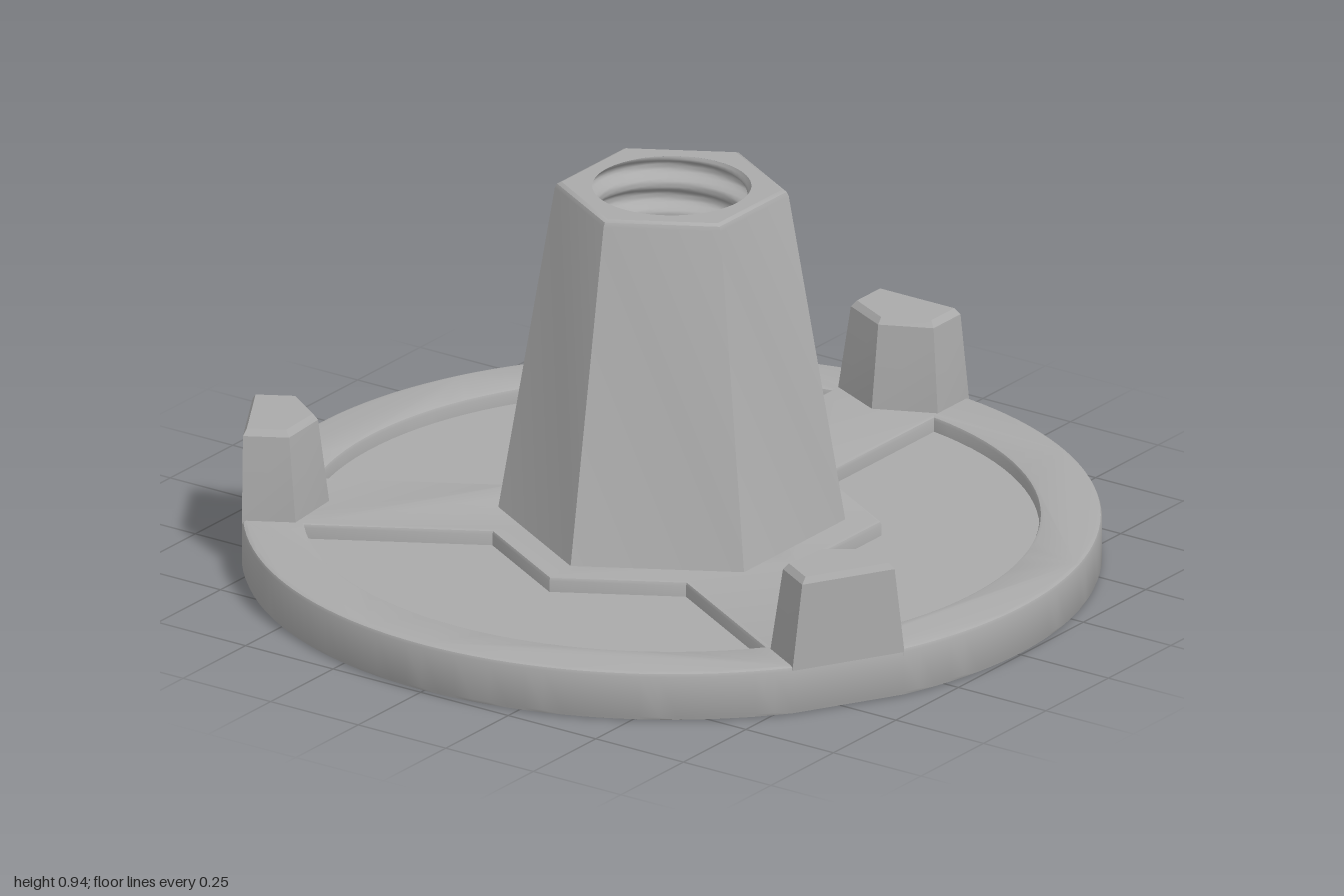
import * as THREE from 'three';
import { toCreasedNormals } from 'three/addons/utils/BufferGeometryUtils.js';

const PLATE_H = 0.12, TOP = 0.94, BORE = 0.185;
const polar = (r, a) => new THREE.Vector2(r * Math.cos(a), r * Math.sin(a));
const circle = (r) => new THREE.Path().absarc(0, 0, r, 0, Math.PI * 2, true);

// Round outline with three short flats under the lugs
function plateOutline() {
  const pts = [], flat = 0.141, steps = 40;
  for (let k = 0; k < 3; k++)
    for (let i = 0; i <= steps; i++) {
      const span = Math.PI * 2 / 3 - 2 * flat;
      pts.push(polar(1, k * Math.PI * 2 / 3 + flat + span * i / steps));
    }
  return new THREE.Shape(pts);
}

// Pocket between two spokes: an outer arc and three straight inner walls
function pocketPath(turn) {
  const half = 0.148, r = 0.855, a0 = Math.asin(half / r), steps = 32;
  const inner = new THREE.Vector2(0.49 - half / Math.sqrt(3), half);
  const pts = [inner];
  for (let i = 0; i <= steps; i++)
    pts.push(polar(r, a0 + (Math.PI * 2 / 3 - 2 * a0) * i / steps));
  pts.push(polar(inner.length(), Math.PI * 2 / 3 - inner.angle()));
  pts.push(polar(0.49, Math.PI / 3));
  const origin = new THREE.Vector2();
  return new THREE.Path(pts.map((p) => p.clone().rotateAround(origin, turn)));
}

// Extrude a plan shape upwards from y0 to y1
function slab(shape, y0, y1, bevel) {
  const geo = new THREE.ExtrudeGeometry(shape, {
    depth: y1 - y0 - 2 * bevel, curveSegments: 64,
    bevelEnabled: bevel > 0, bevelThickness: bevel, bevelSize: bevel,
    bevelOffset: -bevel, bevelSegments: 2,
  });
  geo.rotateX(-Math.PI / 2).translate(0, y0 + bevel, 0);
  return toCreasedNormals(geo, 0.5);
}

function gridGeometry(positions, index) {
  const geo = new THREE.BufferGeometry();
  geo.setAttribute('position', new THREE.Float32BufferAttribute(positions, 3));
  geo.setIndex(index);
  return geo;
}

// Inward-facing helical thread
function threadGeometry() {
  const rows = 140, seg = 48, pitch = 0.075, pos = [], idx = [];
  for (let i = 0; i <= rows; i++) {
    const y = TOP * i / rows;
    const fade = Math.min(1, Math.min(y, TOP - y) / 0.02);
    for (let j = 0; j < seg; j++) {
      const a = j / seg * Math.PI * 2;
      const t = y / pitch + j / seg;
      const d = Math.abs((t - Math.floor(t)) * 2 - 1);
      const r = 0.176 + 0.03 * THREE.MathUtils.smoothstep(d, 0.2, 0.8);
      const rr = THREE.MathUtils.lerp(BORE, r, fade);
      pos.push(rr * Math.cos(a), y, rr * Math.sin(a));
      if (i < rows) {
        const p = i * seg + j, q = i * seg + (j + 1) % seg;
        idx.push(p, q, p + seg, q, q + seg, p + seg);
      }
    }
  }
  const geo = gridGeometry(pos, idx);
  geo.computeVertexNormals();
  return geo;
}

// Tapered five-sided lug with a vertical outer face
function lugGeometry() {
  const sections = [ // y, tip x, shoulder x, half width, outer x
    [0.1, 0.8, 0.865, 0.142, 0.99],
    [PLATE_H, 0.8, 0.865, 0.142, 0.99],
    [0.322, 0.826, 0.882, 0.118, 0.99],
    [0.337, 0.838, 0.89, 0.106, 0.982],
  ];
  const pos = [], idx = [];
  sections.forEach(([y, tip, sh, w, out], s) => {
    pos.push(out, y, -w, out, y, w, sh, y, w, tip, y, 0, sh, y, -w);
    for (let j = 0; j < 5 && s < sections.length - 1; j++) {
      const a = s * 5 + j, b = s * 5 + (j + 1) % 5;
      idx.push(a, a + 5, b, b, a + 5, b + 5);
    }
  });
  const t = (sections.length - 1) * 5;
  for (let j = 1; j < 4; j++) idx.push(t, t + j + 1, t + j);
  return toCreasedNormals(gridGeometry(pos, idx), 0.4);
}

export function createModel() {
  const model = new THREE.Group();
  const body = new THREE.Group();
  body.position.x = 0.005; // balances the flat on the +x side
  model.add(body);

  const grey = new THREE.MeshStandardMaterial({ color: 0xaaaaaa });
  grey.name = 'grey';
  const add = (name, geo) => {
    const mesh = new THREE.Mesh(geo, grey);
    mesh.name = name;
    body.add(mesh);
    return mesh;
  };

  // Flange frame: rim, three spokes and hexagonal hub
  const frame = plateOutline();
  for (let k = 0; k < 3; k++) frame.holes.push(pocketPath(k * Math.PI * 2 / 3));
  frame.holes.push(circle(0.215));
  add('flangeFrame', slab(frame, 0, PLATE_H, 0.01));

  // Thin floor shared by the pockets above and below
  const web = new THREE.Shape().absarc(0, 0, 0.89, 0, Math.PI * 2, false);
  web.holes.push(circle(0.225));
  add('pocketFloor', slab(web, 0.037, 0.083, 0));

  // Tapered hexagonal tower
  const tower = new THREE.LatheGeometry([
    new THREE.Vector2(0.41, 0.11), new THREE.Vector2(0.405, PLATE_H),
    new THREE.Vector2(0.273, 0.925), new THREE.Vector2(0.268, 0.935),
    new THREE.Vector2(0.257, TOP),
  ], 6, Math.PI / 2);
  add('tower', toCreasedNormals(tower, 0.5));

  const rim = new THREE.Shape([0, 1, 2, 3, 4, 5].map((i) => polar(0.257, i * Math.PI / 3)));
  rim.holes.push(circle(BORE));
  add('towerTop', new THREE.ShapeGeometry(rim, 48).rotateX(-Math.PI / 2).translate(0, TOP, 0));

  // Threaded bore and its lower lip
  add('threadedBore', threadGeometry());
  add('boreLip', new THREE.RingGeometry(BORE, 0.228, 48).rotateX(Math.PI / 2));

  // Three lugs on the rim
  const lug = lugGeometry();
  for (let k = 0; k < 3; k++) add('lug' + (k + 1), lug).rotation.y = k * Math.PI * 2 / 3;

  return model;
}
